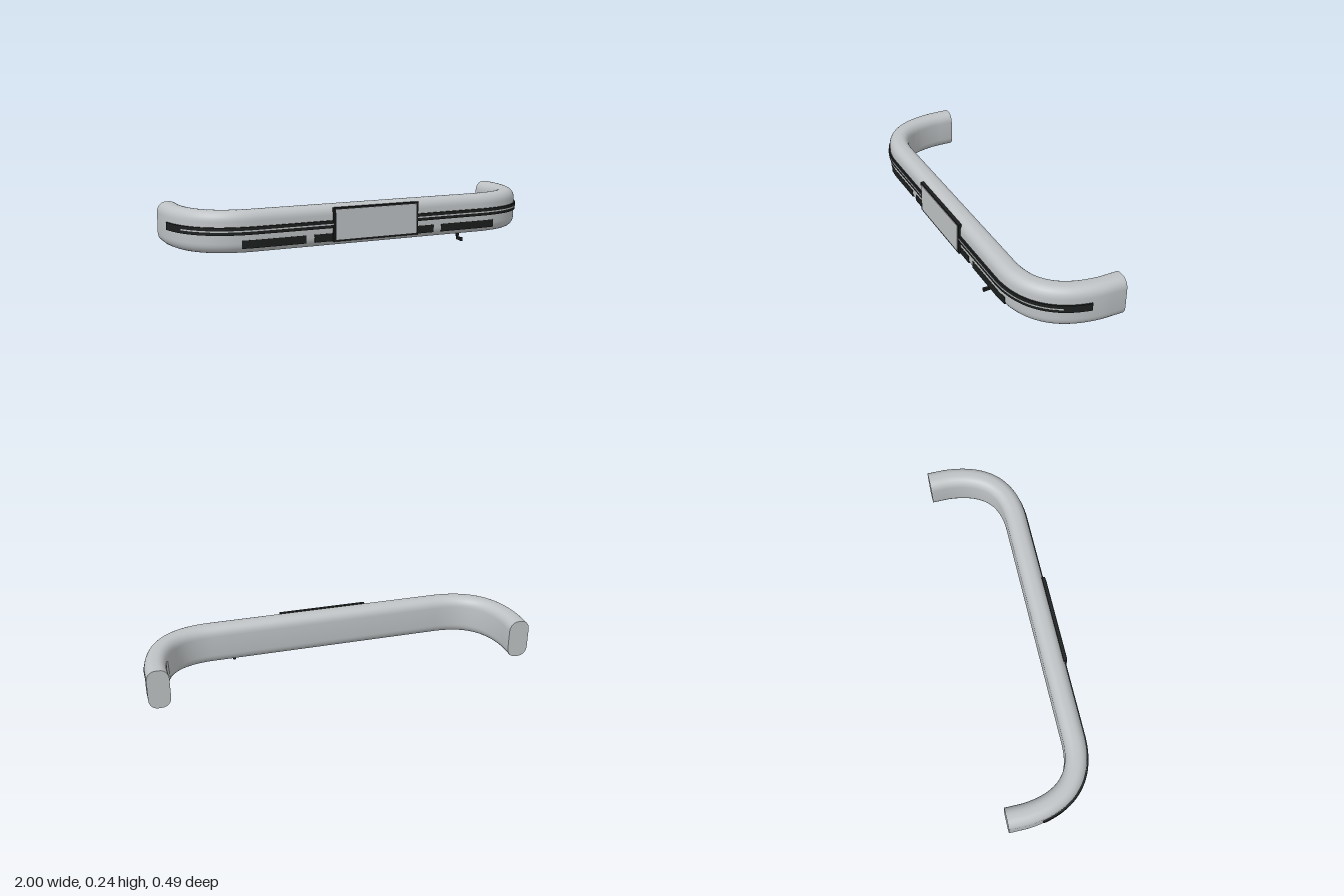
import * as THREE from 'three';
import { toCreasedNormals } from 'three/addons/utils/BufferGeometryUtils.js';

// Half of the bumper centre line in plan, as (x, z); the other half is mirrored
const V = (x, z) => new THREE.Vector2(x, z);
const half = new THREE.CurvePath();
half.add(new THREE.LineCurve(V(0, 0.173), V(0.62, 0.173)));
half.add(new THREE.CubicBezierCurve(V(0.62, 0.173), V(0.83, 0.173), V(0.93, 0.06), V(0.945, -0.15)));
half.add(new THREE.LineCurve(V(0.945, -0.15), V(0.945, -0.244)));
const LENGTH = half.getLength();

// Point and outward direction at signed distance s from the middle
function frame(s) {
  const u = Math.min(Math.abs(s) / LENGTH, 1), sign = s < 0 ? -1 : 1;
  const p = half.getPointAt(u), t = half.getTangentAt(u);
  return { x: sign * p.x, z: p.y, nx: sign * -t.y, nz: t.x };
}

// Sweep a closed section of [outward offset, y] pairs from s0 to s1, with end caps
function sweep(section, s0, s1, steps) {
  const pos = [], index = [], n = section.length;
  for (let i = 0; i <= steps; i++) {
    const f = frame(s0 + (s1 - s0) * i / steps);
    for (const [o, y] of section) pos.push(f.x + f.nx * o, y, f.z + f.nz * o);
  }
  for (let i = 0; i < steps; i++) {
    for (let j = 0; j < n; j++) {
      const k = (j + 1) % n;
      const a = i * n + j, b = a + n, c = (i + 1) * n + k, d = i * n + k;
      index.push(a, b, c, a, c, d);
    }
  }
  const e = steps * n;
  for (let j = 1; j < n - 1; j++) index.push(0, j, j + 1, e, e + j + 1, e + j);
  const g = new THREE.BufferGeometry();
  g.setAttribute('position', new THREE.Float32BufferAttribute(pos, 3));
  g.setIndex(index);
  return toCreasedNormals(g, 0.7);
}

const rect = (o0, o1, y0, y1) => [[o0, y0], [o1, y0], [o1, y1], [o0, y1]];

// Rounded, slightly bulging bumper section
function bumperSection() {
  const pts = [], hw = 0.055, hh = 0.103, rx = 0.045, ry = 0.05, cy = 0.137;
  const corners = [[1, -1, -90], [1, 1, 0], [-1, 1, 90], [-1, -1, 180]];
  for (const [sx, sy, start] of corners) {
    for (let i = 0; i <= 6; i++) {
      const a = THREE.MathUtils.degToRad(start + i * 15);
      pts.push([sx * (hw - rx) + rx * Math.cos(a), cy + sy * (hh - ry) + ry * Math.sin(a)]);
    }
  }
  return pts;
}

export function createModel() {
  const group = new THREE.Group();
  const silver = new THREE.MeshStandardMaterial({ color: 0xbec2c4 });
  silver.name = 'silver';
  const black = new THREE.MeshStandardMaterial({ color: 0x1c1f1f });
  black.name = 'black';

  const add = (name, geometry, material, x = 0, y = 0, z = 0) => {
    const mesh = new THREE.Mesh(geometry, material);
    mesh.name = name;
    mesh.position.set(x, y, z);
    group.add(mesh);
    return mesh;
  };

  // Main wrap-around bar
  add('bumperBar', sweep(bumperSection(), -LENGTH, LENGTH, 140), silver);

  // Rubbing strip with bright inlay, and lower vents, on both sides
  for (const side of [-1, 1]) {
    const name = side < 0 ? 'right' : 'left';
    const run = (section, a, b, n) =>
      side < 0 ? sweep(section, -b, -a, n) : sweep(section, a, b, n);
    add(name + 'RubbingStrip', run(rect(0.04, 0.063, 0.127, 0.165), 0.23, LENGTH - 0.165, 50), black);
    add(name + 'StripInlay', run(rect(0.05, 0.0645, 0.1425, 0.149), 0.23, LENGTH - 0.28, 44), silver);
    add(name + 'InnerVent', run(rect(0.04, 0.0565, 0.06, 0.1), 0.225, 0.335, 2), black);
    add(name + 'OuterVent', run(rect(0.04, 0.0565, 0.06, 0.1), 0.38, 0.697, 12), black);
  }

  // Number plate and its frame
  add('plateFrame', new THREE.BoxGeometry(0.474, 0.17, 0.018), black, 0, 0.143, 0.229);
  add('plate', new THREE.BoxGeometry(0.45, 0.152, 0.006), silver, 0, 0.143, 0.238);

  // Small tow hook under the bar, drawn as a (z, y) profile
  const hook = new THREE.Shape([
    V(0.201, 0.045), V(0.194, 0.017), V(0.224, 0.018), V(0.232, 0.019),
    V(0.232, 0), V(0.222, 0.003), V(0.192, 0.003), V(0.18, 0.045),
  ]);
  const hookGeometry = new THREE.ExtrudeGeometry(hook, { depth: 0.014, bevelEnabled: false });
  hookGeometry.rotateY(-Math.PI / 2);
  add('towHook', hookGeometry, black, 0.509, 0, 0);

  return group;
}
